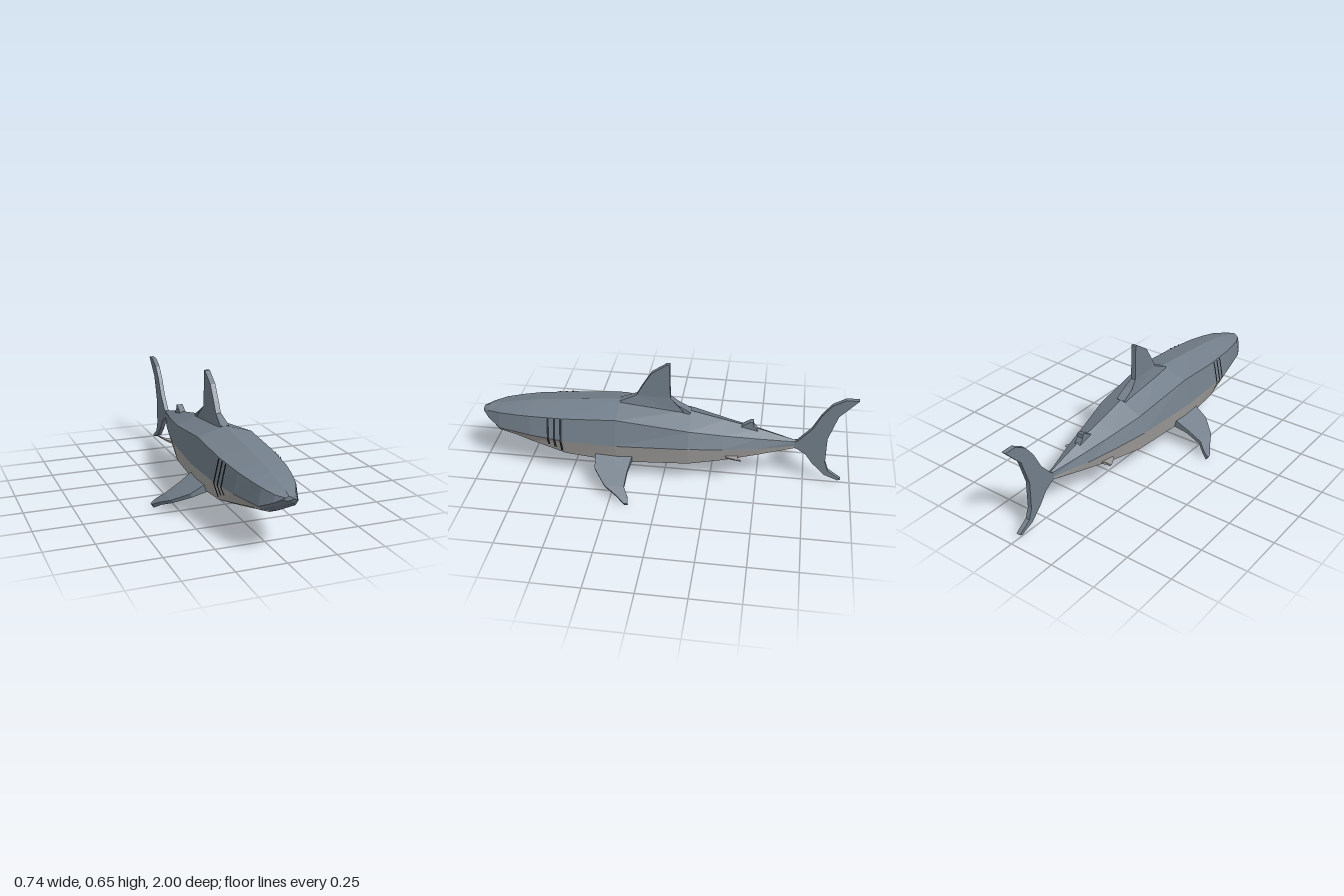
import * as THREE from 'three';

const mat = (name, color, extra = {}) => {
  const m = new THREE.MeshStandardMaterial({ color, flatShading: true, ...extra });
  m.name = name;
  return m;
};

// Body sections, nose to tail: z, top y, upper x/y, middle x/y, lower x/y, bottom y
const SECTIONS = [
  [0.995, 0.318, 0.015, 0.312, 0.025, 0.303, 0.015, 0.298, 0.296],
  [0.96, 0.332, 0.05, 0.318, 0.06, 0.28, 0.045, 0.266, 0.26],
  [0.89, 0.347, 0.085, 0.332, 0.1, 0.245, 0.085, 0.225, 0.212],
  [0.8, 0.365, 0.108, 0.342, 0.122, 0.245, 0.095, 0.208, 0.17],
  [0.71, 0.38, 0.125, 0.35, 0.145, 0.245, 0.115, 0.19, 0.145],
  [0.52, 0.4, 0.143, 0.362, 0.17, 0.24, 0.14, 0.145, 0.09],
  [0.24, 0.425, 0.147, 0.38, 0.18, 0.24, 0.147, 0.122, 0.07],
  [-0.14, 0.385, 0.125, 0.33, 0.155, 0.24, 0.125, 0.13, 0.085],
  [-0.32, 0.345, 0.09, 0.3, 0.115, 0.23, 0.09, 0.147, 0.115],
  [-0.5, 0.305, 0.055, 0.275, 0.07, 0.222, 0.055, 0.175, 0.16],
  [-0.7, 0.25, 0.008, 0.245, 0.01, 0.22, 0.008, 0.207, 0.2],
];

// Eight-point ring from one section
const bodyRing = ([z, yt, xu, yu, xm, ym, xl, yl, yb]) => [
  [0, yt, z], [xu, yu, z], [xm, ym, z], [xl, yl, z],
  [0, yb, z], [-xl, yl, z], [-xm, ym, z], [-xu, yu, z],
];

// Section at any z between the given ones
function sectionAt(z) {
  let i = 0;
  while (i < SECTIONS.length - 2 && SECTIONS[i + 1][0] > z) i++;
  const a = SECTIONS[i], b = SECTIONS[i + 1];
  const t = (a[0] - z) / (a[0] - b[0]);
  return a.map((v, k) => v + (b[k] - v) * t);
}

function toGeometry(points) {
  const g = new THREE.BufferGeometry();
  g.setAttribute('position', new THREE.Float32BufferAttribute(points.flat(), 3));
  g.computeVertexNormals();
  return g;
}

// Skin over closed rings; keep(i, j) picks which panels are made
function loft(rings, keep = () => true, caps = true) {
  const out = [];
  const n = rings[0].length;
  for (let i = 0; i < rings.length - 1; i++) {
    for (let j = 0; j < n; j++) {
      if (!keep(i, j)) continue;
      const k = (j + 1) % n;
      const a = rings[i][j], b = rings[i][k], c = rings[i + 1][k], d = rings[i + 1][j];
      out.push(a, b, d, b, c, d);
    }
  }
  if (caps) {
    const first = rings[0], last = rings[rings.length - 1];
    for (let j = 1; j < n - 1; j++) {
      out.push(first[0], first[j + 1], first[j], last[0], last[j], last[j + 1]);
    }
  }
  return toGeometry(out);
}

// Side fin from stations [x, y, leading z, trailing z, thickness]
function sideFin(stations, side) {
  const rings = stations.map(([x, y, zl, zt, t]) => {
    const dx = t * 0.25, dy = t * 0.44;
    const ring = [
      [side * (x + dx), y + dy, zt], [side * (x + dx), y + dy, zl],
      [side * (x - dx), y - dy, zl], [side * (x - dx), y - dy, zt],
    ];
    return side > 0 ? ring : ring.reverse();
  });
  return loft(rings);
}

// Upright fin cut from a (z, y) outline
function uprightFin(outline, halfWidth) {
  const shape = new THREE.Shape(outline.map(([z, y]) => new THREE.Vector2(z, y)));
  const g = new THREE.ExtrudeGeometry(shape, { depth: halfWidth * 2, bevelEnabled: false });
  g.translate(0, 0, -halfWidth);
  g.rotateY(-Math.PI / 2);
  return g;
}

export function createModel() {
  const slate = mat('slate', 0x737f8b);
  const pale = mat('pale belly', 0xa9a8a6);
  const dark = mat('gill dark', 0x2c3036, { side: THREE.DoubleSide });
  const model = new THREE.Group();
  model.name = 'shark';
  const add = (name, geometry, material) => {
    const mesh = new THREE.Mesh(geometry, material);
    mesh.name = name;
    model.add(mesh);
    return mesh;
  };

  // Body: slate back and snout, pale underside
  const rings = SECTIONS.map(bodyRing);
  const isBelly = (i, j) => i >= 2 && j >= 2 && j <= 5;
  add('back', loft(rings, (i, j) => !isBelly(i, j)), slate);
  add('belly', loft(rings, isBelly, false), pale);

  // Dorsal fin, widening where it meets the back
  const dorsal = uprightFin([
    [0.24, 0.424], [0.15, 0.465], [0.12, 0.52], [0.07, 0.6], [-0.01, 0.655], [-0.025, 0.655],
    [-0.027, 0.52], [-0.03, 0.46], [-0.07, 0.425], [-0.14, 0.386], [-0.12, 0.365], [0.22, 0.4],
  ], 0.014);
  const p = dorsal.attributes.position;
  for (let i = 0; i < p.count; i++) {
    const flare = THREE.MathUtils.clamp((0.45 - p.getY(i)) / 0.03, 0, 1);
    p.setX(i, p.getX(i) * (1 + flare * 0.8));
  }
  dorsal.computeVertexNormals();
  add('dorsalFin', dorsal, slate);

  add('rearDorsalFin', uprightFin([
    [-0.4, 0.315], [-0.455, 0.35], [-0.47, 0.35], [-0.472, 0.328], [-0.495, 0.3], [-0.48, 0.28], [-0.41, 0.3],
  ], 0.017), slate);

  // Crescent tail
  add('tailFin', uprightFin([
    [-0.69, 0.247], [-0.705, 0.25], [-0.775, 0.33], [-0.82, 0.42], [-0.87, 0.485], [-0.935, 0.523],
    [-1, 0.523], [-0.905, 0.42], [-0.86, 0.28], [-0.86, 0.13], [-0.88, 0.075], [-0.95, 0.027],
    [-0.935, 0.02], [-0.86, 0.05], [-0.79, 0.12], [-0.755, 0.17], [-0.705, 0.204], [-0.69, 0.207],
  ], 0.012), slate);

  for (const [side, label] of [[1, 'left'], [-1, 'right']]) {
    // Pectoral fins sweep out, down and back
    add(label + 'PectoralFin', sideFin([
      [0.135, 0.15, 0.355, 0.155, 0.045], [0.22, 0.113, 0.345, 0.17, 0.022],
      [0.3, 0.069, 0.28, 0.175, 0.018], [0.338, 0.038, 0.21, 0.15, 0.018],
      [0.366, 0.011, 0.165, 0.145, 0.022],
    ], side), slate);

    add(label + 'PelvicFin', sideFin([
      [0.07, 0.165, -0.32, -0.4, 0.02], [0.11, 0.175, -0.345, -0.4, 0.016], [0.147, 0.19, -0.407, -0.42, 0.008],
    ], side), pale);

    // Three gill slits lying on the side of the body
    [[0.605, 0.55], [0.57, 0.65], [0.535, 0.8]].forEach(([z, reach], n) => {
      const column = (zz) => {
        const [, , xu, yu, xm, ym, xl, yl] = sectionAt(zz);
        const e = 0.006;
        return [
          [side * (xu + e), yu, zz], [side * (xm + e), ym, zz],
          [side * (xm + (xl - xm) * reach + e), ym + (yl - ym) * reach, zz],
        ];
      };
      const a = column(z + 0.006), b = column(z - 0.006);
      const out = [];
      for (let k = 0; k < 2; k++) {
        const quad = [a[k], a[k + 1], b[k], a[k + 1], b[k + 1], b[k]];
        out.push(...(side > 0 ? quad : quad.reverse()));
      }
      add(label + 'GillSlit' + (n + 1), toGeometry(out), dark);
    });
  }
  return model;
}
